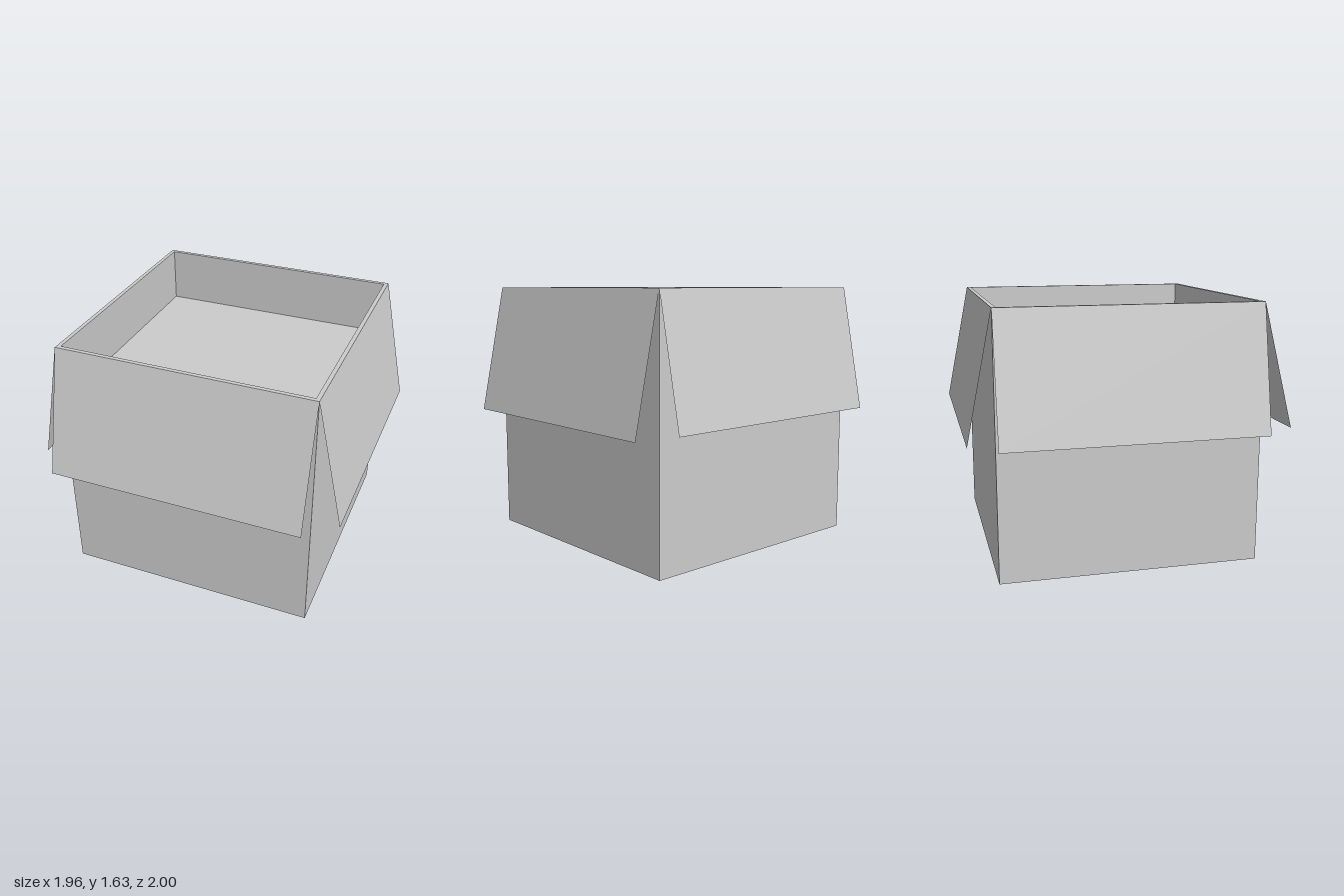
import * as THREE from 'three';

const HEIGHT = 1.634, FLOOR = 1.275, RIM = 0.026;
const HALF_X = 0.812, HALF_Z = 0.815;

export function createModel() {
  const model = new THREE.Group();
  model.name = 'openBox';
  const cardboard = new THREE.MeshStandardMaterial({ color: 0xcccccc, side: THREE.DoubleSide, flatShading: true });
  cardboard.name = 'plainGrey';

  // Box body: a four-sided profile with a rim and a recessed floor
  const profile = [
    [0, 0], [1, 0], [1, HEIGHT], [1 - RIM / HALF_X, HEIGHT], [1 - RIM / HALF_X, FLOOR], [0, FLOOR],
  ].map(([r, y]) => new THREE.Vector2(r * Math.SQRT2, y));
  const bodyGeometry = new THREE.LatheGeometry(profile, 4, Math.PI / 4)
    .scale(HALF_X, 1, HALF_Z).toNonIndexed();
  bodyGeometry.computeVertexNormals();
  const body = new THREE.Mesh(bodyGeometry, cardboard);
  body.name = 'boxBody';
  model.add(body);

  // Four folded-down flaps, hinged on the top outer edges
  const flaps = [
    { name: 'frontFlap', turn: 0, out: 0.205, drop: 0.786 },
    { name: 'leftFlap', turn: 1, out: 0.172, drop: 0.821 },
    { name: 'backFlap', turn: 2, out: 0.161, drop: 0.79 },
    { name: 'rightFlap', turn: 3, out: 0.16, drop: 0.788 },
  ];
  for (const { name, turn, out, drop } of flaps) {
    const side = turn % 2 === 1;
    const width = 2 * (side ? HALF_Z : HALF_X);
    const length = Math.hypot(out, drop);
    const geometry = new THREE.PlaneGeometry(width, length)
      .translate(0, -length / 2, 0)
      .rotateX(-Math.atan2(out, drop))
      .translate(0, HEIGHT, side ? HALF_X : HALF_Z)
      .rotateY(turn * Math.PI / 2);
    const flap = new THREE.Mesh(geometry, cardboard);
    flap.name = name;
    model.add(flap);
  }

  // Uneven flaps put the body slightly off centre
  model.position.set(-0.008, 0, -0.024);
  return model;
}
